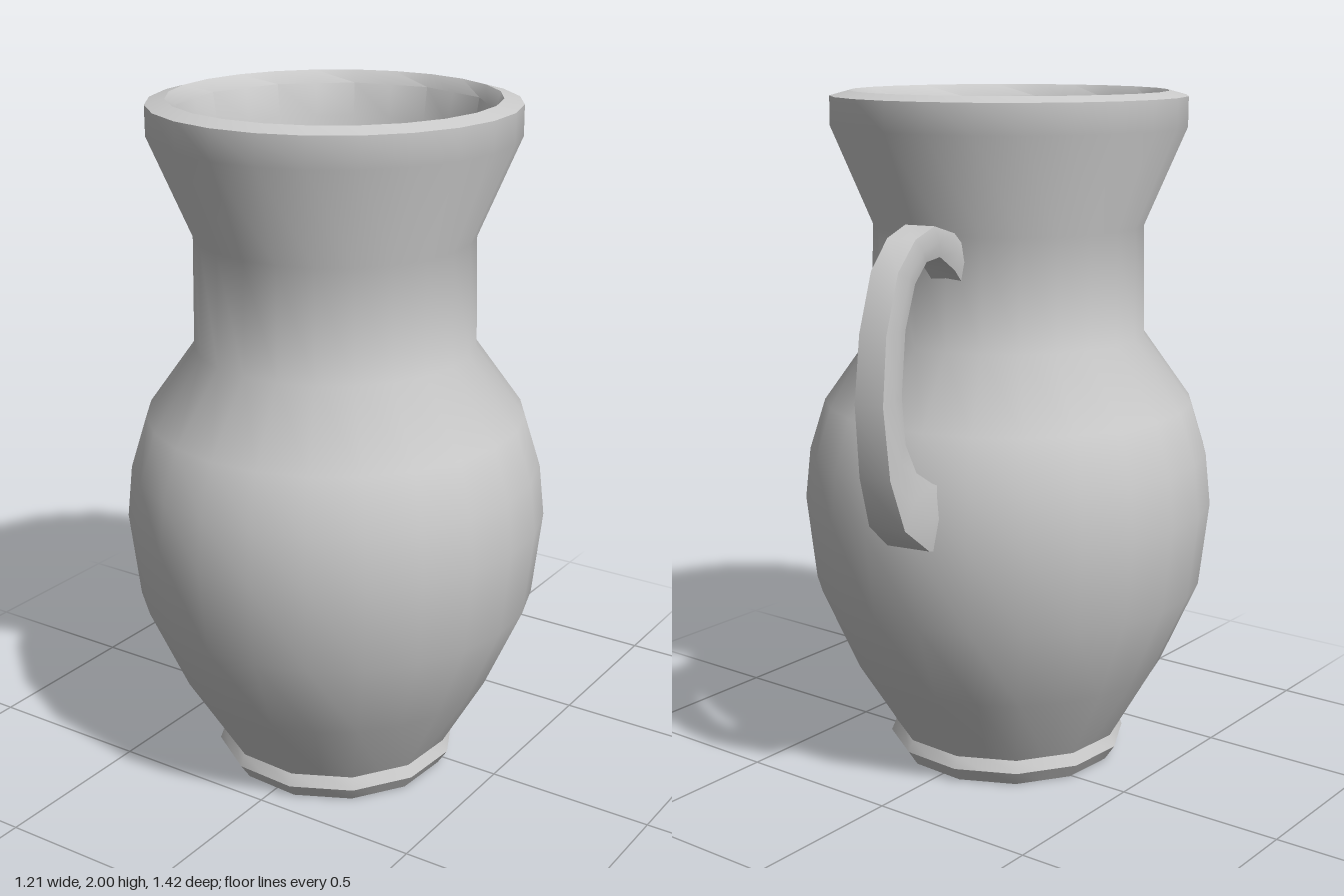
import * as THREE from 'three';
import { toCreasedNormals } from 'three/addons/utils/BufferGeometryUtils.js';

const SEGMENTS = 24;
const AXIS_Z = 0.1; // the vessel sits forward to leave room for the handle

// [radius, height, parity]; parity 0 or 1 keeps those corners of a 12-sided ring, -1 keeps all 24
const PROFILE = [
  [0, 0, 1], [0.33, 0, 1], [0.36, 0.045, 1], [0.345, 0.08, 1],
  [0.47, 0.3, -1], [0.58, 0.55, -1], [0.608, 0.8, -1], [0.592, 0.95, -1],
  [0.545, 1.1, -1], [0.402, 1.3, -1], [0.396, 1.62, -1], [0.515, 1.9, -1],
  [0.515, 1.985, -1], [0.46, 2, -1],
  // inside, from the lip down to the floor
  [0.44, 1.965, 0], [0.425, 1.87, 0], [0.355, 1.6, 0], [0.355, 1.32, 0],
  [0.49, 1.08, 0], [0.55, 0.8, 0], [0.52, 0.55, 0], [0.41, 0.3, 0],
  [0.28, 0.09, 1], [0, 0.09, 1],
];

function vesselGeometry() {
  const points = PROFILE.map(([r, y]) => new THREE.Vector2(r, y));
  const geometry = new THREE.LatheGeometry(points, SEGMENTS, -0.066);
  const pos = geometry.attributes.position;
  const chord = Math.cos(Math.PI * 2 / SEGMENTS);
  // pull every second corner onto the chord where a ring has only 12 sides
  for (let v = 0; v < pos.count; v++) {
    const parity = PROFILE[v % PROFILE.length][2];
    const column = Math.floor(v / PROFILE.length);
    if (parity >= 0 && column % 2 !== parity) {
      pos.setX(v, pos.getX(v) * chord);
      pos.setZ(v, pos.getZ(v) * chord);
    }
  }
  return toCreasedNormals(geometry, 0.72);
}

// Strap stations: [outer distance, outer y, inner distance, inner y, width]
const STRAP = [
  [0.37, 1.59, 0.38, 1.49, 0.11], [0.43, 1.635, 0.43, 1.535, 0.11],
  [0.54, 1.665, 0.51, 1.58, 0.105], [0.64, 1.64, 0.58, 1.575, 0.1],
  [0.73, 1.565, 0.64, 1.525, 0.095], [0.795, 1.41, 0.695, 1.41, 0.095],
  [0.82, 1.23, 0.722, 1.24, 0.1], [0.795, 1.03, 0.712, 1.11, 0.11],
  [0.735, 0.88, 0.67, 1.025, 0.13], [0.62, 0.795, 0.6, 0.98, 0.155],
  [0.53, 0.77, 0.53, 0.95, 0.16],
];

function strapGeometry() {
  // six-sided section: u runs outer to inner, w across the width
  const section = [[0, -0.42], [0, 0.42], [0.5, 0.5], [1, 0.42], [1, -0.42], [0.5, -0.5]];
  const sides = section.length;
  const positions = [];
  const index = [];
  for (const [od, oy, id, iy, width] of STRAP) {
    for (const [u, w] of section) {
      positions.push(w * width, oy + (iy - oy) * u, -(od + (id - od) * u));
    }
  }
  for (let s = 0; s < STRAP.length - 1; s++) {
    for (let k = 0; k < sides; k++) {
      const a = s * sides + k;
      const b = s * sides + (k + 1) % sides;
      index.push(a, a + sides, b, b, a + sides, b + sides);
    }
  }
  // end caps
  const last = (STRAP.length - 1) * sides;
  for (let k = 1; k < sides - 1; k++) {
    index.push(0, k, k + 1, last, last + k + 1, last + k);
  }
  // wind the faces outward
  for (let i = 0; i < index.length; i += 3) {
    [index[i + 1], index[i + 2]] = [index[i + 2], index[i + 1]];
  }
  const geometry = new THREE.BufferGeometry();
  geometry.setAttribute('position', new THREE.Float32BufferAttribute(positions, 3));
  geometry.setIndex(index);
  return toCreasedNormals(geometry, 0.8);
}

export function createModel() {
  const material = new THREE.MeshStandardMaterial({ color: 0xcccccc, side: THREE.DoubleSide });
  const jug = new THREE.Group();
  jug.name = 'jug';

  const vessel = new THREE.Mesh(vesselGeometry(), material);
  vessel.name = 'vessel';

  // the handle leaves the back at a slight angle
  const handle = new THREE.Mesh(strapGeometry(), material);
  handle.name = 'handle';
  handle.rotation.y = 0.19;

  jug.add(vessel, handle);
  for (const part of jug.children) part.position.z = AXIS_Z;
  return jug;
}
